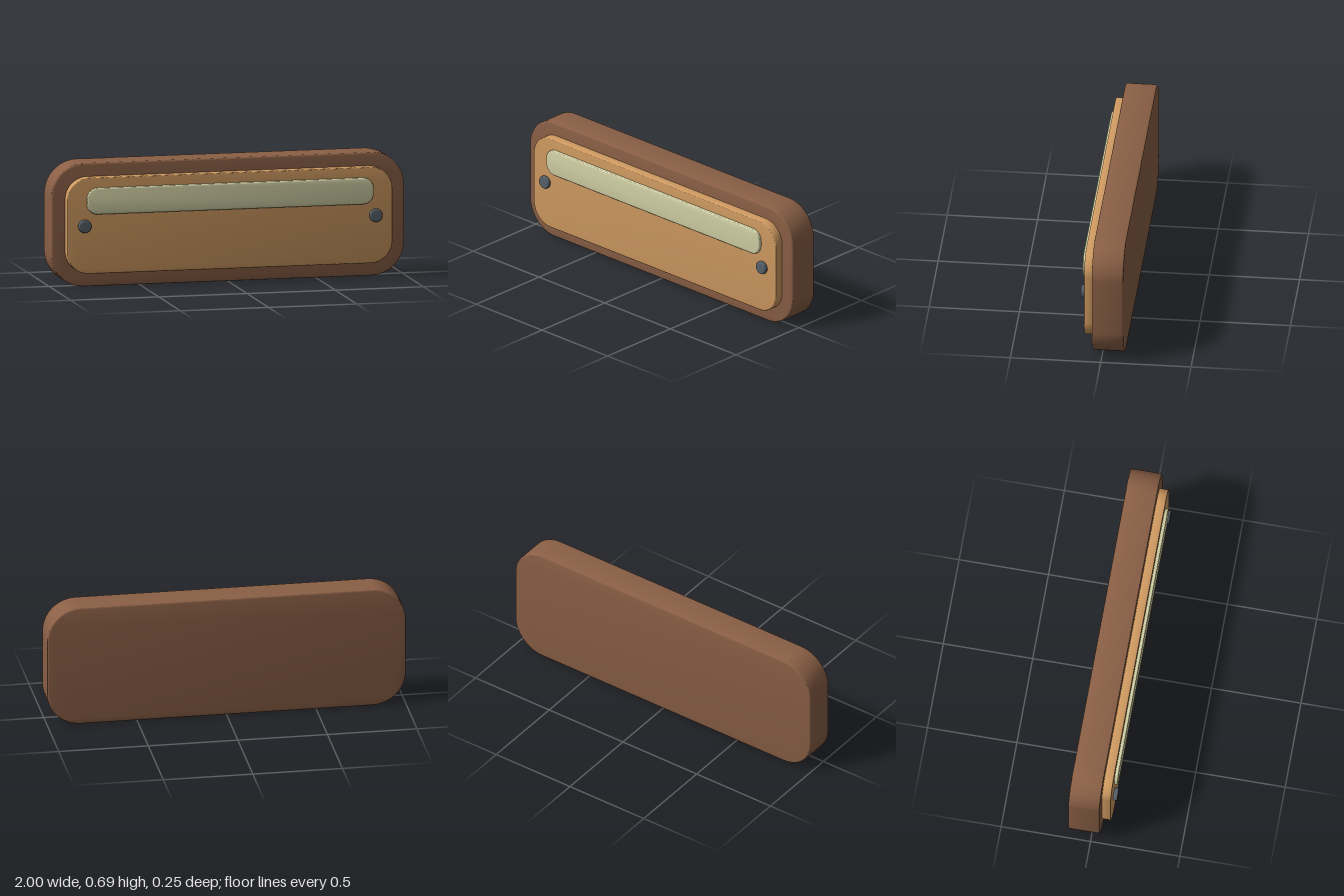
import * as THREE from 'three';
import { toCreasedNormals } from 'three/addons/utils/BufferGeometryUtils.js';

const material = (name, color) => {
  const m = new THREE.MeshStandardMaterial({ color });
  m.name = name;
  return m;
};

// Outline of a rounded rectangle centred on the origin
function roundedRect(w, h, r) {
  const x = w / 2, y = h / 2, q = Math.PI / 2;
  const s = new THREE.Shape();
  s.absarc(x - r, y - r, r, 0, q);
  s.absarc(-x + r, y - r, r, q, 2 * q);
  s.absarc(-x + r, -y + r, r, 2 * q, 3 * q);
  s.absarc(x - r, -y + r, r, 3 * q, 4 * q);
  s.closePath();
  return s;
}

// Rounded slab from z0 to z1 with softened edges
function slab(name, mat, w, y0, y1, z0, z1, r, bevel) {
  const geo = new THREE.ExtrudeGeometry(roundedRect(w - 2 * bevel, y1 - y0 - 2 * bevel, r - bevel), {
    depth: z1 - z0 - 2 * bevel, curveSegments: 10,
    bevelThickness: bevel, bevelSize: bevel, bevelSegments: 3,
  });
  const mesh = new THREE.Mesh(toCreasedNormals(geo, 0.7), mat);
  mesh.name = name;
  mesh.position.set(0, (y0 + y1) / 2, z0 + bevel);
  return mesh;
}

// Round button facing +z
function button(name, mat, x, y, z0, z1, r, bevel) {
  const pts = [new THREE.Vector2(0, z0), new THREE.Vector2(r - bevel, z0)];
  for (let i = 1; i <= 4; i++) {
    const a = (i / 4) * Math.PI / 2;
    pts.push(new THREE.Vector2(r - bevel + bevel * Math.sin(a), z0 + bevel - bevel * Math.cos(a)));
  }
  for (let i = 0; i <= 4; i++) {
    const a = (i / 4) * Math.PI / 2;
    pts.push(new THREE.Vector2(r - bevel + bevel * Math.cos(a), z1 - bevel + bevel * Math.sin(a)));
  }
  pts.push(new THREE.Vector2(0, z1));
  const geo = new THREE.LatheGeometry(pts, 24).rotateX(Math.PI / 2);
  const mesh = new THREE.Mesh(geo, mat);
  mesh.name = name;
  mesh.position.set(x, y, 0);
  return mesh;
}

export function createModel() {
  const darkWood = material('dark wood', 0x8b6046);
  const lightWood = material('light wood', 0xd29c62);
  const cream = material('cream', 0xd4d3a8);
  const slate = material('slate grey', 0x57616a);

  const group = new THREE.Group();
  group.name = 'wallPlaque';
  group.add(
    slab('backBoard', darkWood, 2, 0, 0.687, -0.124, 0.05, 0.185, 0.008),
    slab('frontPanel', lightWood, 1.844, 0.077, 0.613, 0.045, 0.1, 0.125, 0.005),
    slab('labelStrip', cream, 1.624, 0.409, 0.557, 0.097, 0.119, 0.06, 0.008),
  );

  // Mirrored fixing buttons
  for (const side of [-1, 1]) {
    group.add(button(side < 0 ? 'rightButton' : 'leftButton', slate, side * 0.825, 0.345, 0.1, 0.125, 0.037, 0.009));
  }
  return group;
}
